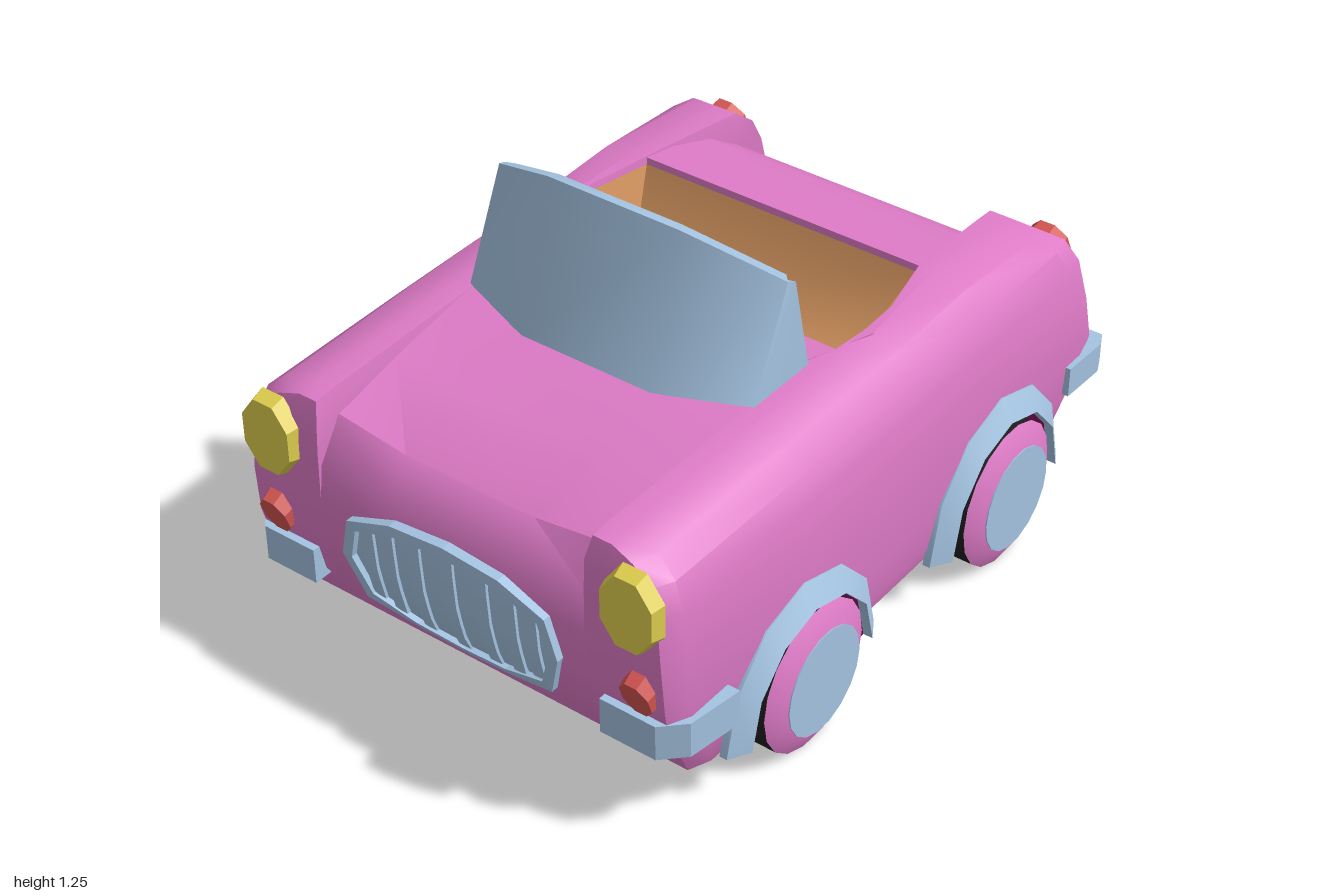
import * as THREE from 'three';
import { toCreasedNormals } from 'three/addons/utils/BufferGeometryUtils.js';

const mat = (name, color) => new THREE.MeshStandardMaterial({ name, color, side: THREE.DoubleSide });

// Piecewise linear lookup through [key, value] pairs with rising keys
function lerpTable(table, k) {
  if (k <= table[0][0]) return table[0][1];
  for (let i = 1; i < table.length; i++) {
    const [a, va] = table[i - 1], [b, vb] = table[i];
    if (k <= b) return va + (vb - va) * (k - a) / (b - a);
  }
  return table[table.length - 1][1];
}

// Surface through rows of [x, y, z] points
function sheet(rows, crease = 0.65) {
  const n = rows[0].length, index = [];
  for (let i = 0; i < rows.length - 1; i++)
    for (let j = 0; j < n - 1; j++) {
      const a = i * n + j, b = a + n;
      index.push(a, a + 1, b, a + 1, b + 1, b);
    }
  const g = new THREE.BufferGeometry();
  g.setAttribute('position', new THREE.Float32BufferAttribute(rows.flat(2), 3));
  g.setIndex(index);
  return toCreasedNormals(g, crease);
}

const shapeOf = pts => new THREE.Shape(pts.map(p => new THREE.Vector2(p[0], p[1])));
const extrude = (shape, depth) => new THREE.ExtrudeGeometry(shape, { depth, bevelEnabled: false });

// Nose and tail profiles (y to z), and cockpit width (z to x)
const NOSE = [[0.13, 0.83], [0.2, 0.87], [0.3, 0.93], [0.42, 0.958], [0.56, 0.968], [0.7, 0.965], [0.78, 0.96], [0.85, 0.94]];
const TAIL = [[0.15, -0.72], [0.2, -0.81], [0.3, -0.89], [0.41, -0.955], [0.56, -0.92], [0.7, -0.88], [0.78, -0.835], [0.83, -0.77]];
const INNER = [[-0.9, 0.41], [-0.39, 0.44], [-0.08, 0.505], [0.03, 0.468], [0.12, 0.435], [0.9, 0.425]];
const nose = y => lerpTable(NOSE, y);
const tail = y => lerpTable(TAIL, y);
const inner = z => lerpTable(INNER, z);

// Moves a flat front detail onto the curved nose
function wrapToNose(g) {
  const p = g.attributes.position;
  for (let i = 0; i < p.count; i++) p.setZ(i, p.getZ(i) + nose(p.getY(i)));
  g.computeVertexNormals();
  return g;
}

export function createModel() {
  const pink = mat('pink paint', 0xde7bc7), blue = mat('pale blue trim', 0xa4c3e1);
  const yellow = mat('yellow lamp', 0xe0d04e), red = mat('red lamp', 0xd35653);
  const tan = mat('tan seat', 0xdc9a62), black = mat('black tyre', 0x1e1e1e);
  const maroon = mat('dark maroon underside', 0x55083a);
  const model = new THREE.Group();
  model.name = 'convertibleCar';
  const add = (name, geometry, material, x = 0, y = 0, z = 0) => {
    const m = new THREE.Mesh(geometry, material);
    m.name = name;
    m.position.set(x, y, z);
    model.add(m);
    return m;
  };

  // Fender cross-section: up the outside, over the top, down the inside
  const OUTER = [[0.645, 0.15], [0.66, 0.2], [0.668, 0.3], [0.675, 0.42], [0.672, 0.56], [0.66, 0.7], [0.635, 0.78]];
  const ring = (s, top, bottom, inset, zAt) => {
    const pts = OUTER.map(([x, y], i) => [x - inset, i ? y : bottom]);
    pts.push([0.58 - inset, top - 0.022], [0.48, top]);
    const w = inner(zAt(top));
    pts.push([w, top]);
    for (let i = OUTER.length - 1; i >= 0; i--) pts.push([w - 0.012, i ? OUTER[i][1] : bottom]);
    return pts.map(([x, y]) => [s * x, y, zAt(y)]);
  };
  // Closes a ring end by joining outer points to inner points of equal height
  const cap = r => {
    const half = Math.ceil(r.length / 2);
    return sheet(Array.from({ length: half }, (_, i) => [r[i], r[r.length - 1 - i]]));
  };

  for (const s of [1, -1]) {
    const side = s > 0 ? 'left' : 'right';
    const rings = [
      ring(s, 0.842, 0.13, 0.035, nose),
      ring(s, 0.847, 0.135, 0.006, y => nose(y) - 0.06),
      ...[[0.4, 0.852], [0.12, 0.856], [0.03, 0.857], [-0.08, 0.858], [-0.39, 0.87]]
        .map(([z, top]) => ring(s, top, 0.15, 0, () => z)),
      ring(s, 0.838, 0.152, 0.004, y => tail(y) + 0.07),
      ring(s, 0.828, 0.155, 0.022, tail),
    ];
    add(side + 'Fender', sheet(rings), pink);
    add(side + 'FenderNose', cap(rings[0]), pink);
    add(side + 'FenderTail', cap(rings[rings.length - 1]), pink);

    // Wheels, dark wells and flared arch trims
    for (const [end, z, ry] of [['Front', 0.445, 0.34], ['Rear', -0.452, 0.36]]) {
      const arc = (rx, h) => Array.from({ length: 7 }, (_, i) =>
        [rx * Math.cos(i * Math.PI / 6), h * Math.sin(i * Math.PI / 6)]);
      const rim = arc(0.318, ry), open = arc(0.26, ry - 0.065);
      const at = (p, x) => [s * x, 0.15 + p[1], z + p[0]];
      add(side + end + 'ArchTrim', sheet(rim.map((p, i) =>
        [at(p, 0.655), at(p, 0.677), at(open[i], 0.712), at(open[i], 0.655)])), blue);
      const well = extrude(shapeOf(open), 0.008).rotateY(-Math.PI / 2);
      add(side + end + 'WheelWell', well, maroon, s > 0 ? 0.684 : -0.676, 0.15, z);

      const roll = -s * Math.PI / 2;
      const disc = (r1, r2, h) => toCreasedNormals(new THREE.CylinderGeometry(r1, r2, h, 18).rotateZ(roll), 0.5);
      add(side + end + 'Tyre', disc(0.21, 0.21, 0.23), black, s * 0.595, 0.21, z);
      add(side + end + 'WheelRim', disc(0.155, 0.211, 0.03), pink, s * 0.725, 0.21, z);
      add(side + end + 'HubCap', disc(0.152, 0.152, 0.006), blue, s * 0.74, 0.21, z);
    }

    // Eight-sided lamps
    const lamp = (name, rx, ry, depth, material, x, y, z, tilt) => {
      const g = new THREE.CylinderGeometry(0.94, 1.06, depth, 8).rotateY(Math.PI / 8).rotateX(Math.PI / 2).scale(rx, ry, 1);
      add(name, toCreasedNormals(g, 0.3), material, s * x, y, z).rotation.x = tilt;
    };
    lamp(side + 'Headlight', 0.086, 0.118, 0.04, yellow, 0.557, 0.705, 0.975, 0);
    lamp(side + 'SignalLight', 0.049, 0.067, 0.04, red, 0.57, 0.45, 0.96, 0.33);
    lamp(side + 'TailLight', 0.061, 0.076, 0.035, red, 0.533, 0.71, -0.898, Math.PI + 0.48);

    // Corner bumpers, outlined in plan as [x, z]
    const bumper = (name, plan, y, h) =>
      add(name, extrude(shapeOf(plan.map(([x, z]) => [s * x, -z])), h).rotateX(-Math.PI / 2), blue, 0, y, 0);
    bumper(side + 'FrontBumper', [[0.455, 0.89], [0.455, 0.97], [0.62, 0.97], [0.68, 0.91], [0.705, 0.75], [0.65, 0.75], [0.64, 0.87]], 0.275, 0.105);
    bumper(side + 'RearBumper', [[0.43, -0.88], [0.43, -0.995], [0.67, -0.995], [0.69, -0.95], [0.685, -0.8], [0.65, -0.8], [0.62, -0.88]], 0.315, 0.09);
  }

  // Nose, bonnet, dashboard top and front cockpit wall; rows of [y, z, extra height at sides]
  const bodyRow = ([y, z, lift = 0]) => {
    const w = inner(z);
    return [[-w, y + lift, z], [-0.2, y, z], [0.2, y, z], [w, y + lift, z]];
  };
  add('bonnet', sheet([[0.13, 0.83], [0.2, 0.87], [0.3, 0.93], [0.42, 0.958], [0.56, 0.968], [0.66, 0.955], [0.745, 0.88, 0.03],
    [0.8, 0.65, 0.015], [0.845, 0.42], [0.856, 0.3], [0.857, 0.12], [0.857, 0.03], [0.3, 0.03]].map(bodyRow)), pink);

  // Rounded rear deck and tail panel
  add('rearDeck', sheet([[0.8, -0.385], [0.866, -0.39], [0.85, -0.5], [0.805, -0.65], [0.73, -0.77], [0.61, -0.85],
    [0.45, -0.885], [0.3, -0.87], [0.2, -0.8], [0.155, -0.715]].map(bodyRow)), pink);

  // Underside plates
  add('underside', new THREE.BoxGeometry(1.28, 0.012, 1.47), maroon, 0, 0.156, 0.02);
  add('undersideNose', new THREE.BoxGeometry(1.22, 0.012, 0.14), maroon, 0, 0.142, 0.755);

  // Seat: sloped back, cushion and curved side pieces
  add('seat', sheet([[0.85, -0.383, 0.436], [0.5, -0.25, 0.4], [0.5, -0.1, 0.45], [0.5, 0.028, 0.455]]
    .map(([y, z, w]) => [[-w, y, z], [w, y, z]]), 1.5), tan);
  for (const s of [1, -1]) {
    const at = pts => pts.map(([x, y, z]) => [s * x, y, z]);
    add(s > 0 ? 'leftSeatSide' : 'rightSeatSide', sheet([
      at([[0.434, 0.85, -0.383], [0.492, 0.85, -0.085], [0.465, 0.7, -0.01], [0.45, 0.5, 0.028]]),
      at([[0.4, 0.5, -0.25], [0.45, 0.5, -0.1], [0.452, 0.5, 0], [0.45, 0.5, 0.028]])]), tan);
  }

  // Wrap-around windscreen with thickness: [x, base z, top y, top z]
  const posts = [[0.45, 0.12, 1.135, 0.185], [0.445, 0.345, 1.145, 0.21], [0.2, 0.435, 1.252, 0.315]];
  const columns = [...posts, ...posts.slice().reverse().map(([x, ...r]) => [-x, ...r])].map(([x, zb, ty, tz], i) => {
    const xi = x * 0.94, d = i === 0 || i === 5 ? 0 : 0.03;
    return [[x, 0.845, zb], [x, ty, tz], [xi, ty - 0.005, tz - d], [xi, 0.845, zb - d], [x, 0.845, zb]];
  });
  add('windscreen', sheet(columns, 1.25), blue);
  for (const c of [columns[0], columns[5]])
    add('windscreenEdge', sheet([[c[0], c[1]], [c[3], c[2]]]), blue);

  // Grille: frame, backing and upright bars
  const half = [[0, 0.624], [0.17, 0.61], [0.31, 0.56], [0.34, 0.44], [0.295, 0.3], [0.15, 0.255], [0, 0.24]];
  const hole = [[0, 0.592], [0.16, 0.58], [0.285, 0.538], [0.31, 0.44], [0.27, 0.325], [0.14, 0.285], [0, 0.27]];
  const full = h => [...h, ...h.slice(1, -1).reverse().map(([x, y]) => [-x, y])];
  const frame = shapeOf(full(half));
  frame.holes.push(shapeOf(full(hole)));
  add('grilleFrame', wrapToNose(extrude(frame, 0.05).translate(0, 0, -0.028)), blue);
  const widths = hole.slice().reverse().map(([x, y]) => [y, x]);
  add('grilleBacking', sheet([0.275, 0.285, 0.325, 0.38, 0.44, 0.49, 0.538, 0.58, 0.59].map(y => {
    const w = lerpTable(widths, y);
    return [[-w, y, nose(y) + 0.004], [w, y, nose(y) + 0.004]];
  })), blue);
  for (const x of [-0.255, -0.19, -0.105, 0, 0.105, 0.19, 0.255]) {
    const top = lerpTable(hole.slice(0, 4), Math.abs(x));
    const bottom = lerpTable(hole.slice(3).reverse(), Math.abs(x));
    const bar = new THREE.BoxGeometry(0.038, top - bottom, 0.02, 1, 6, 1).translate(x, (top + bottom) / 2, 0.003);
    add('grilleBar', wrapToNose(bar), blue);
  }
  return model;
}
